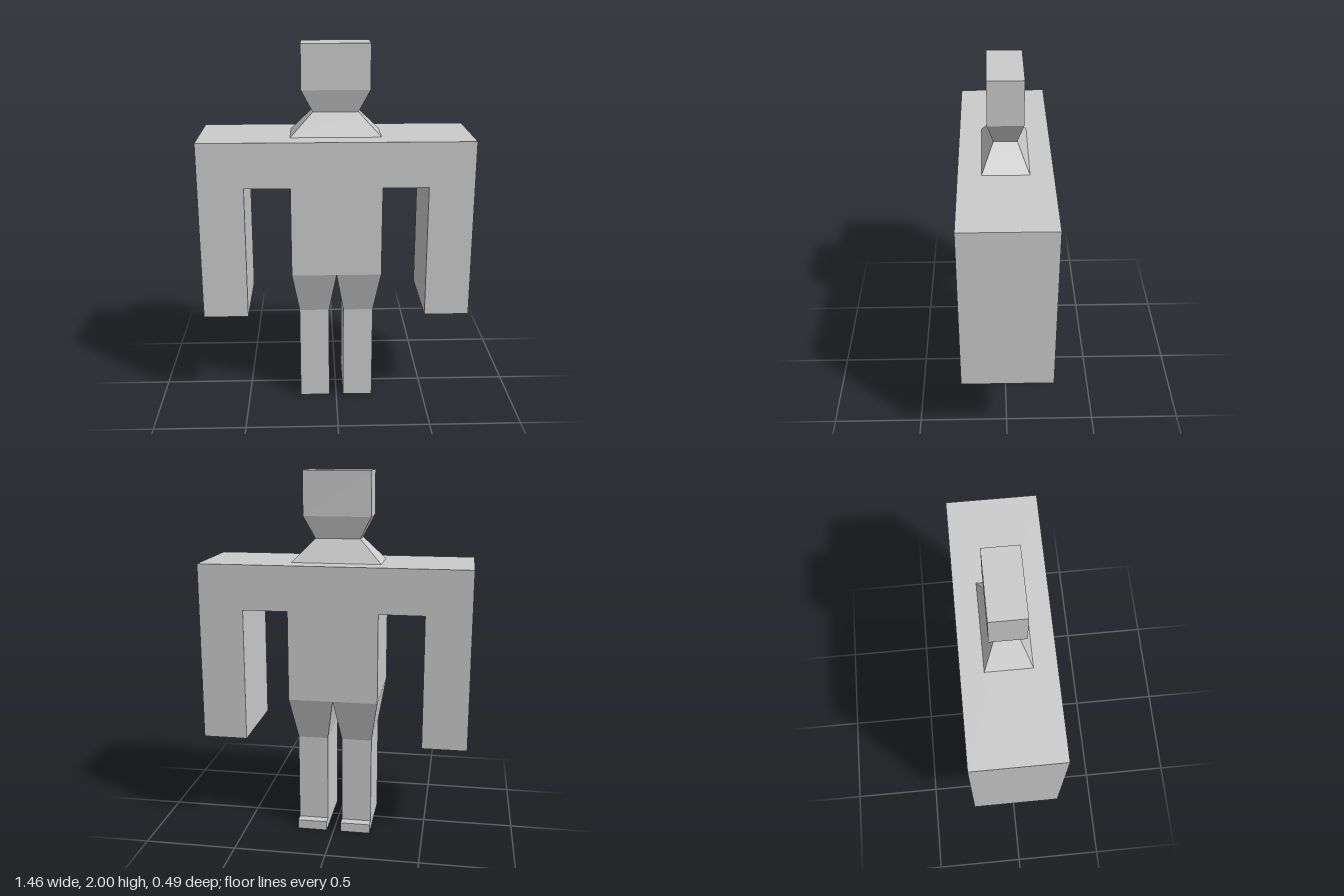
import * as THREE from 'three';

const material = new THREE.MeshStandardMaterial({ color: 0xcccccc, flatShading: true });

// Joins rectangular sections [y, x0, x1, z0, z1], listed from bottom to top, into a closed solid
function loft(sections) {
  const rings = sections.map(([y, x0, x1, z0, z1]) => [[x0, y, z1], [x1, y, z1], [x1, y, z0], [x0, y, z0]]);
  const pos = [];
  const quad = (a, b, c, d) => pos.push(...a, ...b, ...c, ...a, ...c, ...d);
  for (let i = 0; i < rings.length - 1; i++) {
    for (let j = 0; j < 4; j++) {
      const k = (j + 1) % 4;
      quad(rings[i][j], rings[i][k], rings[i + 1][k], rings[i + 1][j]);
    }
  }
  quad(...rings[0].slice().reverse());
  quad(...rings[rings.length - 1]);
  const geometry = new THREE.BufferGeometry();
  geometry.setAttribute('position', new THREE.Float32BufferAttribute(pos, 3));
  geometry.computeVertexNormals();
  return geometry;
}

export function createModel() {
  const model = new THREE.Group();
  const add = (name, geometry) => {
    const mesh = new THREE.Mesh(geometry, material);
    mesh.name = name;
    model.add(mesh);
    return mesh;
  };

  // Torso, shoulders and arms share one outline, extruded front to back
  const half = [[0.243, 0.78], [0.243, 1.27], [0.487, 1.27], [0.487, 0.54], [0.73, 0.54], [0.73, 1.515]];
  const outline = [...half, ...half.slice().reverse().map(([x, y]) => [-x, y])];
  const shape = new THREE.Shape(outline.map(([x, y]) => new THREE.Vector2(x, y)));
  const depth = 0.486;
  const torso = new THREE.ExtrudeGeometry(shape, { depth, bevelEnabled: false });
  add('torsoAndArms', torso.translate(0, 0, -depth / 2));

  // Sloping neck and head widening from the jaw
  add('neck', loft([
    [1.515, -0.243, 0.243, -0.122, 0.122],
    [1.64, -0.122, 0.122, -0.061, 0.061],
  ]));
  add('head', loft([
    [1.64, -0.122, 0.122, -0.061, 0.061],
    [1.76, -0.183, 0.183, -0.092, 0.092],
    [2, -0.183, 0.183, -0.092, 0.092],
  ]));

  // Tapered thighs, straight lower legs and small ledges behind the feet
  for (const [side, s] of [['left', 1], ['right', -1]]) {
    const section = (y, inner, outer, z0, z1) =>
      [y, Math.min(s * inner, s * outer), Math.max(s * inner, s * outer), z0, z1];
    add(side + 'Thigh', loft([
      section(0.54, 0.04, 0.205, -0.167, 0.167),
      section(0.78, 0, 0.243, -0.243, 0.243),
    ]));
    add(side + 'LowerLeg', loft([
      section(0, 0.04, 0.205, -0.167, 0.167),
      section(0.54, 0.04, 0.205, -0.167, 0.167),
    ]));
    add(side + 'Foot', loft([
      section(0, 0.04, 0.205, -0.217, -0.167),
      section(0.052, 0.04, 0.205, -0.217, -0.167),
    ]));
  }
  return model;
}
